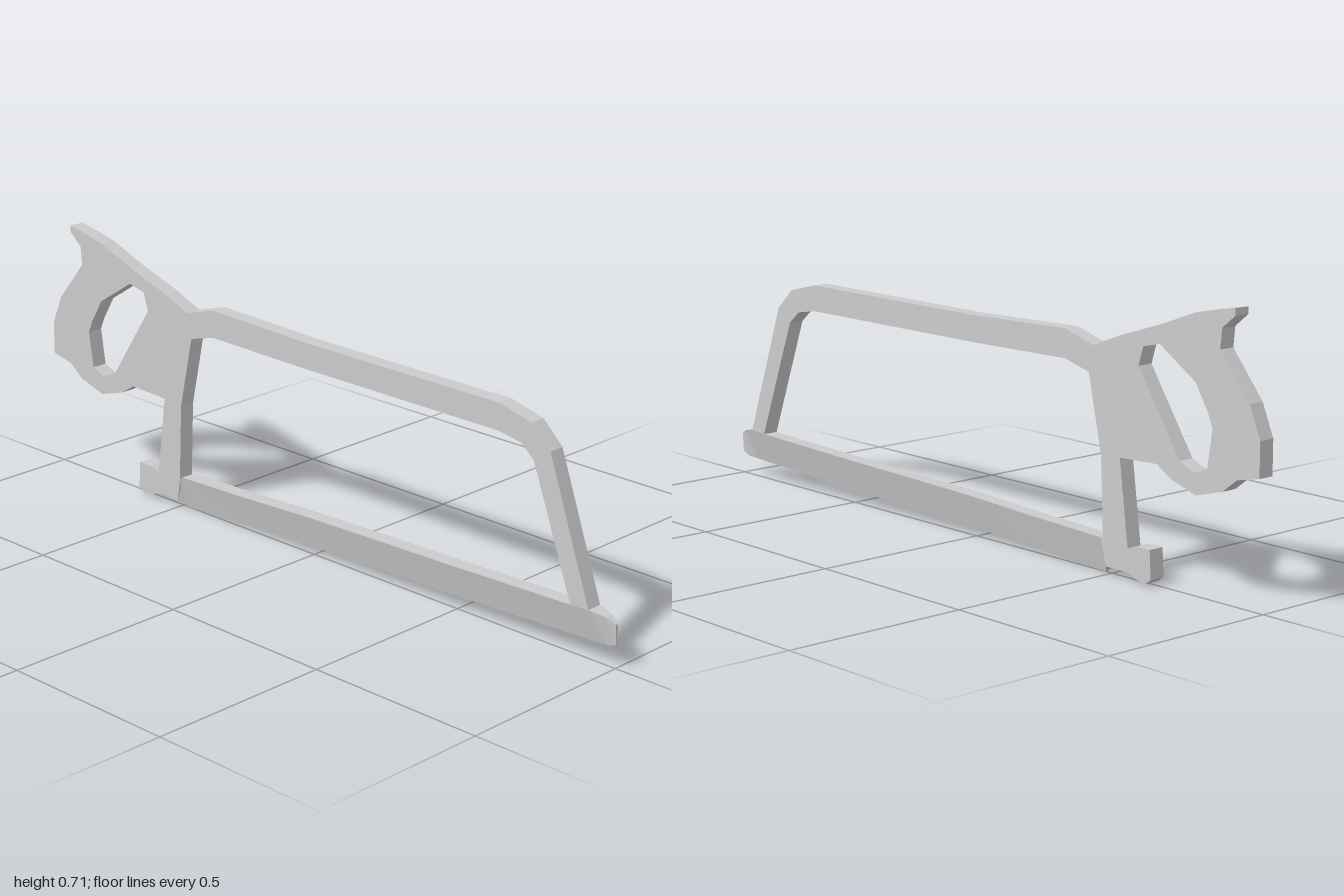
import * as THREE from 'three';

const HALF = 0.022; // half thickness of the flat stock
const material = new THREE.MeshStandardMaterial({ color: 0xcccccc, flatShading: true });
const points = (list) => list.map(([x, y]) => new THREE.Vector2(x, y));

// Flat piece; the outline runs clockwise and the hole counter-clockwise.
function plate(outline, hole) {
  const shape = new THREE.Shape(points(outline));
  shape.holes.push(new THREE.Path(points(hole)));
  const geometry = new THREE.ExtrudeGeometry(shape, { depth: HALF * 2, bevelEnabled: false });
  return geometry.translate(0, 0, -HALF);
}

// Joins four-cornered sections [x, topY, bottomY, topHalfWidth, bottomHalfWidth] along x.
function sectionLoft(sections) {
  const position = [], index = [];
  for (const [x, top, bottom, wt, wb] of sections) {
    position.push(x, top, wt, x, top, -wt, x, bottom, -wb, x, bottom, wb);
  }
  for (let i = 0; i < sections.length - 1; i++) {
    for (let j = 0; j < 4; j++) {
      const a = i * 4 + j, b = i * 4 + (j + 1) % 4;
      index.push(a, a + 4, b, b, a + 4, b + 4);
    }
  }
  const e = (sections.length - 1) * 4;
  index.push(0, 1, 2, 0, 2, 3, e, e + 2, e + 1, e, e + 3, e + 2);
  const indexed = new THREE.BufferGeometry();
  indexed.setAttribute('position', new THREE.Float32BufferAttribute(position, 3));
  indexed.setIndex(index);
  const geometry = indexed.toNonIndexed();
  geometry.computeVertexNormals();
  return geometry;
}

export function createModel() {
  const saw = new THREE.Group();
  saw.name = 'hacksaw';

  // Pistol-grip handle, bow frame, rear post and tension knob in one flat piece
  const frame = new THREE.Mesh(plate([
    // handle top
    [-0.915, 0.712], [-0.87, 0.704], [-0.79, 0.687], [-0.67, 0.642], [-0.54, 0.6], [-0.45, 0.564],
    // outside of the bow
    [-0.35, 0.593], [0, 0.583], [0.64, 0.583], [0.74, 0.558], [0.8, 0.501], [0.93, 0.136],
    // inside of the bow
    [0.875, 0.133], [0.75, 0.466], [0.71, 0.5], [0.64, 0.512], [0, 0.513], [-0.35, 0.518],
    [-0.435, 0.496], [-0.48, 0.295], [-0.49, 0.076],
    // post bottom and tension knob
    [-0.5, 0.021], [-0.575, 0.021], [-0.605, 0.009], [-0.635, 0.003], [-0.655, 0.017],
    [-0.65, 0.091], [-0.605, 0.091], [-0.575, 0.081], [-0.545, 0.301],
    // handle underside and back
    [-0.67, 0.306], [-0.72, 0.276], [-0.8, 0.252], [-0.885, 0.276], [-0.93, 0.311],
    [-1, 0.326], [-1, 0.415], [-0.965, 0.496], [-0.87, 0.61], [-0.875, 0.661], [-0.915, 0.694],
  ], [
    [-0.675, 0.597], [-0.795, 0.521], [-0.835, 0.455], [-0.85, 0.421], [-0.835, 0.322],
    [-0.795, 0.306], [-0.745, 0.326], [-0.605, 0.535], [-0.62, 0.584],
  ]), material);
  frame.name = 'handleAndFrame';
  saw.add(frame);

  // Wedge-shaped blade, thick along the back and sharp along the bottom
  const edge = 0.001;
  const blade = new THREE.Mesh(sectionLoft([
    [-0.5, 0.076, 0.021, HALF, HALF],
    [-0.48, 0.091, 0, HALF, edge],
    [-0.24, 0.099, 0.01, HALF, edge],
    [0, 0.11, 0.022, HALF, edge],
    [0.2, 0.115, 0.027, HALF, edge],
    [0.5, 0.122, 0.034, HALF, edge],
    [0.875, 0.133, 0.048, HALF, edge],
    [0.935, 0.136, 0.05, HALF, edge],
    [0.975, 0.128, 0.052, 0.012, edge],
    [1, 0.114, 0.062, 0.004, edge],
  ]), material);
  blade.name = 'blade';
  saw.add(blade);

  return saw;
}
